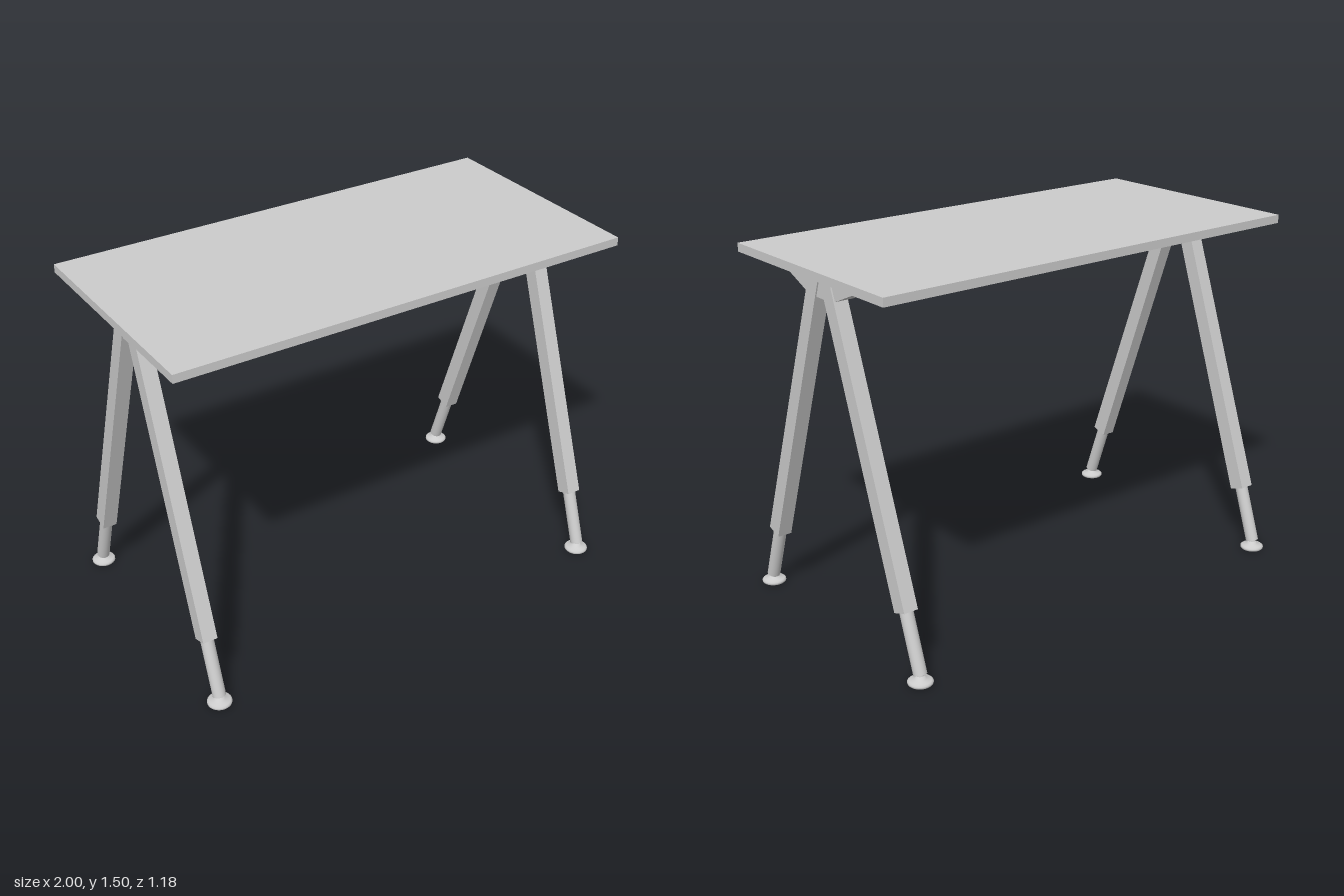
import * as THREE from 'three';

const grey = new THREE.MeshStandardMaterial({ color: 0xcccccc });
const blueGrey = new THREE.MeshStandardMaterial({ color: 0xa4afc0 });

function add(parent, name, geometry, material = grey) {
  const mesh = new THREE.Mesh(geometry, material);
  mesh.name = name;
  parent.add(mesh);
  return mesh;
}

// Extrudes a (z, y) outline along x, between x0 and x1
function sidePlate(points, x0, x1) {
  const shape = new THREE.Shape(points.map(([z, y]) => new THREE.Vector2(z, y)));
  const geometry = new THREE.ExtrudeGeometry(shape, { depth: x1 - x0, bevelEnabled: false });
  return geometry.rotateY(-Math.PI / 2).translate(x1, 0, 0);
}

// Cylinder between two points
function rod(parent, name, a, b, radius) {
  const dir = b.clone().sub(a);
  const mesh = add(parent, name, new THREE.CylinderGeometry(radius, radius, dir.length(), 24));
  mesh.position.copy(a).add(b).multiplyScalar(0.5);
  mesh.quaternion.setFromUnitVectors(new THREE.Vector3(0, 1, 0), dir.normalize());
  return mesh;
}

// One slanted leg with its extension and levelling foot; s is the z side
function buildLeg(x, s) {
  const leg = new THREE.Group();
  leg.name = 'leg';
  const outline = [[0.49, 0.281], [0.424, 0.258], [0.01, 1.44], [0, 1.469], [0.068, 1.469]]
    .map(([z, y]) => [z * s, y]);
  add(leg, 'legTube', sidePlate(outline, x - 0.031, x + 0.031));

  const at = (z, y) => new THREE.Vector3(x, y, z * s);
  rod(leg, 'legExtension', at(0.447, 0.3), at(0.538, 0.038), 0.027);
  rod(leg, 'footStem', at(0.53, 0.055), at(0.542, 0.015), 0.016);

  // Flared foot disc
  const profile = [[0, 0], [0.046, 0], [0.05, 0.004], [0.05, 0.011], [0.044, 0.016], [0.022, 0.022], [0.016, 0.034], [0, 0.036]]
    .map(([r, y]) => new THREE.Vector2(r, y));
  add(leg, 'foot', new THREE.LatheGeometry(profile, 24)).position.set(x, 0, 0.538 * s);
  return leg;
}

export function createModel() {
  const table = new THREE.Group();
  table.name = 'table';

  // Table top
  add(table, 'tableTop', new THREE.BoxGeometry(2, 0.035, 1)).position.y = 1.487;

  // Long beam under the top
  add(table, 'crossBeam', new THREE.BoxGeometry(1.74, 0.065, 0.08), blueGrey).position.y = 1.4375;

  // Winged bracket and pair of legs at each end
  const wings = [[-0.25, 1.47], [-0.25, 1.453], [-0.1, 1.389], [-0.06, 1.38],
    [0.06, 1.38], [0.1, 1.389], [0.25, 1.453], [0.25, 1.47]];
  for (const side of [-1, 1]) {
    const [x0, x1] = [0.86 * side, 0.94 * side].sort((a, b) => a - b);
    add(table, 'bracket', sidePlate(wings, x0, x1));
    for (const s of [-1, 1]) table.add(buildLeg(0.915 * side, s));
  }
  return table;
}
